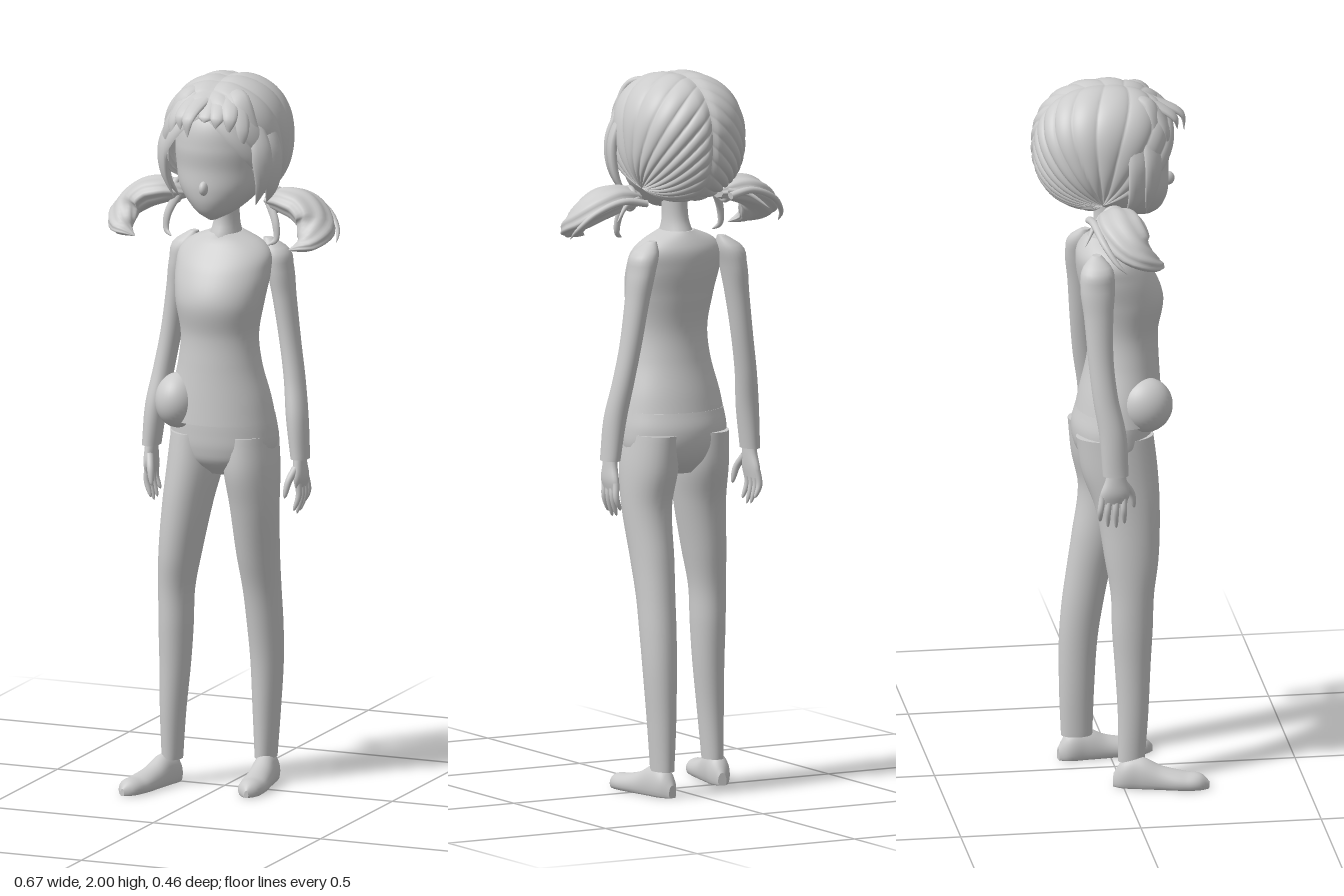
import * as THREE from 'three';

const V = (x, y, z) => new THREE.Vector3(x, y, z);
const grey = new THREE.MeshStandardMaterial({ color: 0xcccccc, side: THREE.DoubleSide });
const headCentre = V(-0.003, 1.82, -0.03);

function mesh(name, geometry) {
  const m = new THREE.Mesh(geometry, grey);
  m.name = name;
  return m;
}

function gridGeometry(pos, idx) {
  const g = new THREE.BufferGeometry();
  g.setAttribute('position', new THREE.Float32BufferAttribute(pos, 3));
  g.setIndex(idx);
  g.computeVertexNormals();
  return g;
}

// Skin over elliptical sections; section(t) gives centre c and half axes a, b
function skin(section, n, m, { ridge = 0, floor = -Infinity } = {}) {
  const pos = [], idx = [];
  const ring = (t) => {
    const { c, a, b } = section(t);
    for (let j = 0; j < m; j++) {
      const th = (j / m) * Math.PI * 2, k = 1 + ridge * Math.cos(th * 8);
      const p = c.clone().addScaledVector(a, k * Math.cos(th)).addScaledVector(b, k * Math.sin(th));
      pos.push(p.x, Math.max(floor, p.y), p.z);
    }
    return c;
  };
  for (let i = 0; i <= n; i++) ring(i / n);
  for (let i = 0; i < n; i++) for (let j = 0; j < m; j++) {
    const k = (j + 1) % m, a = i * m + j, b = i * m + k;
    idx.push(a, b, b + m, a, b + m, a + m);
  }
  // flat caps with their own corners
  for (const t of [0, 1]) {
    const s = pos.length / 3, c = ring(t);
    pos.push(c.x, Math.max(floor, c.y), c.z);
    for (let j = 0; j < m; j++) {
      const k = (j + 1) % m;
      idx.push(s + m, s + (t ? j : k), s + (t ? k : j));
    }
  }
  return gridGeometry(pos, idx);
}

function smooth(keys) {
  const size = keys[0].length - 1;
  const it = new THREE.CubicInterpolant(keys.map(k => k[0]), keys.flatMap(k => k.slice(1)), size, new Array(size));
  return (t) => Array.from(it.evaluate(t));
}

// Upward loft; keys are [y, centre x, half width, front z, back z]
function loft(name, keys, n = 40, m = 32) {
  const f = smooth(keys), y0 = keys[0][0], y1 = keys[keys.length - 1][0];
  return mesh(name, skin(t => {
    const y = y0 + (y1 - y0) * t;
    const [x, rx, zf, zb] = f(y);
    return { c: V(x, y, (zf + zb) / 2), a: V(rx, 0, 0), b: V(0, 0, -(zf - zb) / 2) };
  }, n, m));
}

// Tapered lock or finger along a path; up sets which way its flat side faces
function lock(name, pts, w, thick, profile, up, ridge = 0) {
  const curve = new THREE.CatmullRomCurve3(pts.map(p => V(...p)));
  return mesh(name, skin(t => {
    const c = curve.getPoint(t), T = curve.getTangent(t);
    const a = T.clone().cross(up || c.clone().sub(headCentre)).normalize();
    const b = T.clone().cross(a), r = profile(t);
    return { c, a: a.multiplyScalar(w * r), b: b.multiplyScalar(thick * r) };
  }, 24, ridge ? 48 : 12, { ridge }));
}
const leaf = t => Math.max(0.01, Math.pow(Math.sin(Math.PI * Math.pow(0.06 + 0.94 * t, 0.75)), 0.9));
const taper = t => Math.max(0.01, Math.pow(1 - t * t, 0.7));
const fingerShape = t => Math.sqrt(Math.max(0.001, 1 - Math.pow(t, 5))) * (1 - 0.2 * t);

function foot(name, heel, toe) {
  const f = smooth([[0, 0.012, 0.035], [0.08, 0.028, 0.07], [0.28, 0.033, 0.085], [0.5, 0.036, 0.06],
    [0.75, 0.038, 0.045], [0.93, 0.026, 0.038], [1, 0.006, 0.02]]);
  const side = toe.clone().sub(heel).normalize().cross(V(0, 1, 0)).negate();
  return mesh(name, skin(t => {
    const [w, h] = f(t), c = heel.clone().lerp(toe, t);
    c.y = h * 0.35;
    return { c, a: side.clone().multiplyScalar(w), b: V(0, h * 0.65, 0) };
  }, 32, 28, { floor: 0 }));
}

// Half of the combed hair: strands sweep from the centre parting to the tail root
function hairHalf(s) {
  const N = 260, M = 30, strands = 15, pos = [], idx = [];
  const root = V(0.7 * s, -0.7, -0.1).normalize();
  for (let i = 0; i <= N; i++) {
    const u = i / N, phi = THREE.MathUtils.degToRad(32 + 222 * u);
    const P = V(0, Math.sin(phi), Math.cos(phi)), ang = P.angleTo(root);
    for (let j = 0; j <= M; j++) {
      const v = j / M;
      const d = P.clone().multiplyScalar(Math.sin((1 - v) * ang)).addScaledVector(root, Math.sin(v * ang));
      const r = Math.pow(Math.abs(d.x) ** 2.3 + Math.abs(d.y) ** 2.3 + Math.abs(d.z) ** 2.3, -1 / 2.3);
      const wave = Math.pow(Math.abs(Math.sin(Math.PI * strands * (u + 0.012 * Math.sin(v * 4 + u * 9)))), 0.6);
      const k = r * (1 + 0.04 * (wave - 0.85) * Math.min(1, 0.3 + v * 3) - 0.035 * Math.exp(-((v / 0.05) ** 2)));
      pos.push(headCentre.x + d.x * k * 0.17, headCentre.y + d.y * k * 0.18, headCentre.z + d.z * k * 0.2);
    }
  }
  for (let i = 0; i < N; i++) for (let j = 0; j < M; j++) {
    const a = i * (M + 1) + j, b = a + 1, c = a + M + 1, d = c + 1;
    if (s > 0) idx.push(a, b, d, a, d, c); else idx.push(a, d, b, a, c, d);
  }
  return mesh(s > 0 ? 'hairLeft' : 'hairRight', gridGeometry(pos, idx));
}

function arm() {
  const g = new THREE.Group();
  g.add(loft('sleeve', [[0.935, 0.212, 0.025, 0.005, -0.067], [1.05, 0.2, 0.03, 0, -0.075], [1.15, 0.185, 0.029, -0.02, -0.09],
    [1.25, 0.168, 0.029, -0.03, -0.1], [1.38, 0.148, 0.032, -0.028, -0.11], [1.46, 0.135, 0.036, -0.022, -0.118],
    [1.51, 0.122, 0.036, -0.028, -0.11], [1.54, 0.1, 0.012, -0.055, -0.08]], 48, 24));
  g.add(loft('palm', [[0.855, 0.213, 0.011, 0.0, -0.075], [0.88, 0.214, 0.016, 0.008, -0.075],
    [0.92, 0.212, 0.017, 0.0, -0.06], [0.97, 0.21, 0.016, -0.01, -0.05]], 14, 18));
  [-0.008, -0.028, -0.048, -0.067].forEach((z, i) => {
    const drop = [0.79, 0.778, 0.782, 0.8][i];
    g.add(lock('finger', [[0.214, 0.875, z], [0.217, 0.835, z * 1.1], [0.203, drop, z * 1.15 + 0.004]], 0.0095, 0.0095, fingerShape, V(1, 0, 0)));
  });
  g.add(lock('thumb', [[0.208, 0.91, -0.008], [0.196, 0.875, 0.015], [0.188, 0.83, 0.024]], 0.011, 0.011, fingerShape, V(1, 0, 0)));
  return g;
}

function pigtail() {
  const g = new THREE.Group(), up = V(0.4, 1, 0);
  g.add(lock('tail', [[0.12, 1.655, -0.03], [0.18, 1.66, -0.02], [0.235, 1.645, -0.012], [0.28, 1.605, 0.02],
    [0.268, 1.565, 0.07], [0.225, 1.545, 0.088]], 0.068, 0.04, leaf, up, 0.05));
  g.add(lock('longStrand', [[0.13, 1.65, -0.09], [0.2, 1.66, -0.085], [0.28, 1.63, -0.07], [0.32, 1.585, -0.04], [0.328, 1.555, -0.01]], 0.012, 0.01, taper, up));
  g.add(lock('upperStrand', [[0.14, 1.66, -0.06], [0.19, 1.65, -0.085], [0.24, 1.61, -0.118]], 0.008, 0.008, taper, up));
  g.add(lock('lowerStrand', [[0.13, 1.66, 0.0], [0.158, 1.6, 0.015], [0.16, 1.555, 0.02], [0.14, 1.54, 0.03]], 0.012, 0.008, taper, V(0, 0, 1)));
  const band = mesh('hairBand', new THREE.TorusGeometry(0.027, 0.01, 10, 24));
  band.position.set(0.148, 1.658, -0.025);
  band.rotation.y = Math.PI / 2;
  g.add(band);
  return g;
}

function pair(root, name, make, shift) {
  for (const s of [1, -1]) {
    const g = make();
    g.name = name + (s > 0 ? 'Left' : 'Right');
    g.scale.x = s;
    g.position.x = s > 0 ? 0 : shift;
    root.add(g);
  }
}

export function createModel() {
  const model = new THREE.Group();
  model.name = 'figure';

  // Head and neck
  model.add(loft('head', [[1.614, 0, 0.012, 0.1, 0.05], [1.63, 0, 0.045, 0.122, 0], [1.66, 0, 0.082, 0.14, -0.07],
    [1.7, 0, 0.113, 0.148, -0.11], [1.76, 0, 0.128, 0.148, -0.14], [1.82, 0, 0.132, 0.153, -0.15],
    [1.9, 0, 0.115, 0.135, -0.13], [1.96, 0, 0.06, 0.07, -0.07]], 44, 40));
  const nose = mesh('nose', new THREE.SphereGeometry(1, 20, 14));
  nose.scale.set(0.013, 0.02, 0.019);
  nose.position.set(0, 1.712, 0.147);
  model.add(nose);
  model.add(loft('neck', [[1.5, -0.005, 0.06, 0.04, -0.1], [1.55, -0.004, 0.044, 0.038, -0.078], [1.59, -0.002, 0.035, 0.026, -0.062], [1.68, 0, 0.036, 0.03, -0.06]], 16, 24));

  // Shirt and hips
  model.add(loft('shirt', [[1.038, -0.005, 0.154, 0.13, -0.112], [1.1, -0.005, 0.143, 0.126, -0.1], [1.2, -0.005, 0.118, 0.12, -0.078],
    [1.28, -0.005, 0.11, 0.118, -0.072], [1.38, -0.005, 0.126, 0.132, -0.09], [1.46, -0.005, 0.136, 0.1, -0.106],
    [1.51, -0.005, 0.13, 0.064, -0.106], [1.54, -0.005, 0.095, 0.042, -0.092], [1.56, -0.005, 0.045, 0.034, -0.078]], 56, 44));
  model.add(loft('hips', [[0.885, -0.005, 0.07, 0.04, -0.06], [0.92, -0.005, 0.128, 0.085, -0.095], [0.96, -0.005, 0.15, 0.1, -0.115],
    [1.01, -0.005, 0.153, 0.104, -0.12], [1.06, -0.005, 0.147, 0.105, -0.108]], 20, 40));

  // Legs: the right one steps forward
  model.add(loft('legLeft', [[0.07, 0.083, 0.029, -0.05, -0.137], [0.2, 0.085, 0.037, -0.045, -0.142], [0.35, 0.088, 0.045, -0.035, -0.142],
    [0.45, 0.087, 0.049, -0.02, -0.135], [0.55, 0.085, 0.052, 0, -0.122], [0.65, 0.083, 0.058, 0.03, -0.108],
    [0.8, 0.084, 0.067, 0.07, -0.09], [0.9, 0.077, 0.074, 0.092, -0.11], [1.0, 0.072, 0.07, 0.09, -0.12]], 56, 28));
  model.add(loft('legRight', [[0.07, -0.146, 0.028, 0.062, -0.012], [0.2, -0.142, 0.035, 0.072, -0.012], [0.35, -0.135, 0.043, 0.08, -0.02],
    [0.45, -0.133, 0.047, 0.086, -0.027], [0.55, -0.131, 0.049, 0.09, -0.03], [0.65, -0.121, 0.057, 0.104, -0.045],
    [0.8, -0.101, 0.067, 0.11, -0.07], [0.9, -0.088, 0.073, 0.106, -0.105], [1.0, -0.083, 0.07, 0.095, -0.12]], 56, 28));
  model.add(foot('footLeft', V(0.08, 0, -0.145), V(0.115, 0, 0.12)));
  model.add(foot('footRight', V(-0.148, 0, -0.025), V(-0.207, 0, 0.232)));

  // Arms
  pair(model, 'arm', arm, -0.02);

  // Pouch on the right hip
  const ball = mesh('hipBall', new THREE.SphereGeometry(1, 32, 24));
  ball.scale.set(0.063, 0.077, 0.075);
  ball.position.set(-0.108, 1.092, 0.07);
  model.add(ball);

  // Hair cap, fringe, side locks and pigtails
  const hair = new THREE.Group();
  hair.name = 'hair';
  hair.add(hairHalf(1), hairHalf(-1));
  const fringe = [[-0.033, 1.86, 0.188], [-0.065, 1.875, 0.165], [-0.1, 1.83, 0.135], [-0.128, 1.77, 0.105],
    [0.005, 1.9, 0.158], [0.04, 1.885, 0.158], [0.075, 1.87, 0.148], [0.105, 1.82, 0.13], [0.13, 1.76, 0.1]];
  for (const [x, y, z] of fringe)
    hair.add(lock('fringeLock', [[x * 0.2, 1.975, 0.02], [x * 0.65, 1.955, 0.085], [x, Math.min(1.91, y + 0.06), z - 0.008], [x * 0.97, y, z]], 0.026, 0.011, leaf));
  for (const s of [1, -1]) {
    hair.add(lock('sideLock', [[0.12 * s, 1.9, 0.07], [0.146 * s, 1.81, 0.085], [0.146 * s, 1.73, 0.08], [0.122 * s, 1.66, 0.07]], 0.032, 0.014, leaf));
    hair.add(lock('sideLock', [[0.14 * s, 1.89, 0.03], [0.161 * s, 1.8, 0.045], [0.155 * s, 1.71, 0.035], [0.13 * s, 1.65, 0.01]], 0.034, 0.014, leaf));
  }
  pair(hair, 'pigtail', pigtail, -0.006);
  model.add(hair);
  return model;
}
